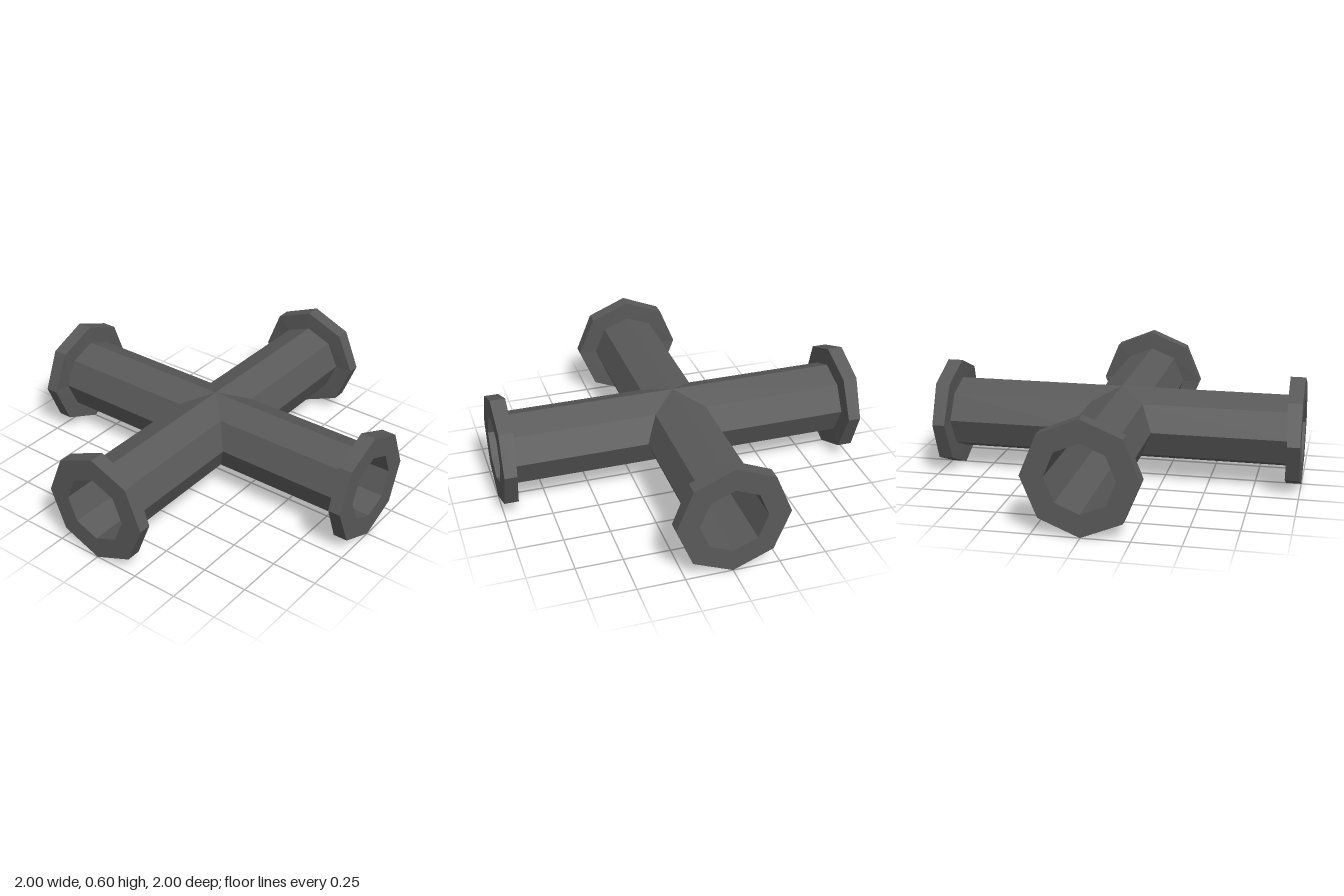
import * as THREE from 'three';

const SIDES = 8;
const AXIS_HEIGHT = 0.3;
const PIPE = 0.2, BORE = 0.18, FLANGE = 0.3;

// Octagonal ring around the z axis; depth(x, sin) gives z for each corner
function ring(radius, depth) {
  return Array.from({ length: SIDES }, (_, i) => {
    const a = (i / SIDES) * Math.PI * 2;
    const x = radius * Math.cos(a), y = radius * Math.sin(a);
    return [x, y, depth(x, Math.sin(a))];
  });
}

// Skin a series of rings with flat quads
function loft(rings) {
  const pos = [];
  for (let r = 0; r < rings.length - 1; r++) {
    for (let i = 0; i < SIDES; i++) {
      const j = (i + 1) % SIDES;
      const a = rings[r][i], b = rings[r][j], c = rings[r + 1][j], d = rings[r + 1][i];
      pos.push(...a, ...b, ...c, ...a, ...c, ...d);
    }
  }
  const geo = new THREE.BufferGeometry();
  geo.setAttribute('position', new THREE.Float32BufferAttribute(pos, 3));
  geo.computeVertexNormals();
  return geo;
}

export function createModel() {
  const group = new THREE.Group();
  group.name = 'crossPipeFitting';
  const darkGrey = new THREE.MeshStandardMaterial({ color: 0x595959, flatShading: true });
  darkGrey.name = 'darkGrey';

  const mitre = (x) => Math.abs(x); // 45 degree joint with the neighbouring arms
  const back = (x, s) => 0.932 - 0.014 * Math.abs(s); // slightly uneven flange back
  const end = () => 1;

  const parts = {
    pipe: loft([ring(PIPE, mitre), ring(PIPE, back)]),
    flange: loft([ring(PIPE, back), ring(FLANGE, back), ring(FLANGE, end), ring(BORE, end)]),
    bore: loft([ring(BORE, end), ring(BORE, mitre)]),
  };

  // Four identical arms around the centre
  ['front', 'left', 'back', 'right'].forEach((side, i) => {
    const arm = new THREE.Group();
    arm.name = side + 'Arm';
    for (const [name, geo] of Object.entries(parts)) {
      const mesh = new THREE.Mesh(geo, darkGrey);
      mesh.name = name;
      arm.add(mesh);
    }
    arm.position.y = AXIS_HEIGHT;
    arm.rotation.y = (i * Math.PI) / 2;
    group.add(arm);
  });
  return group;
}
